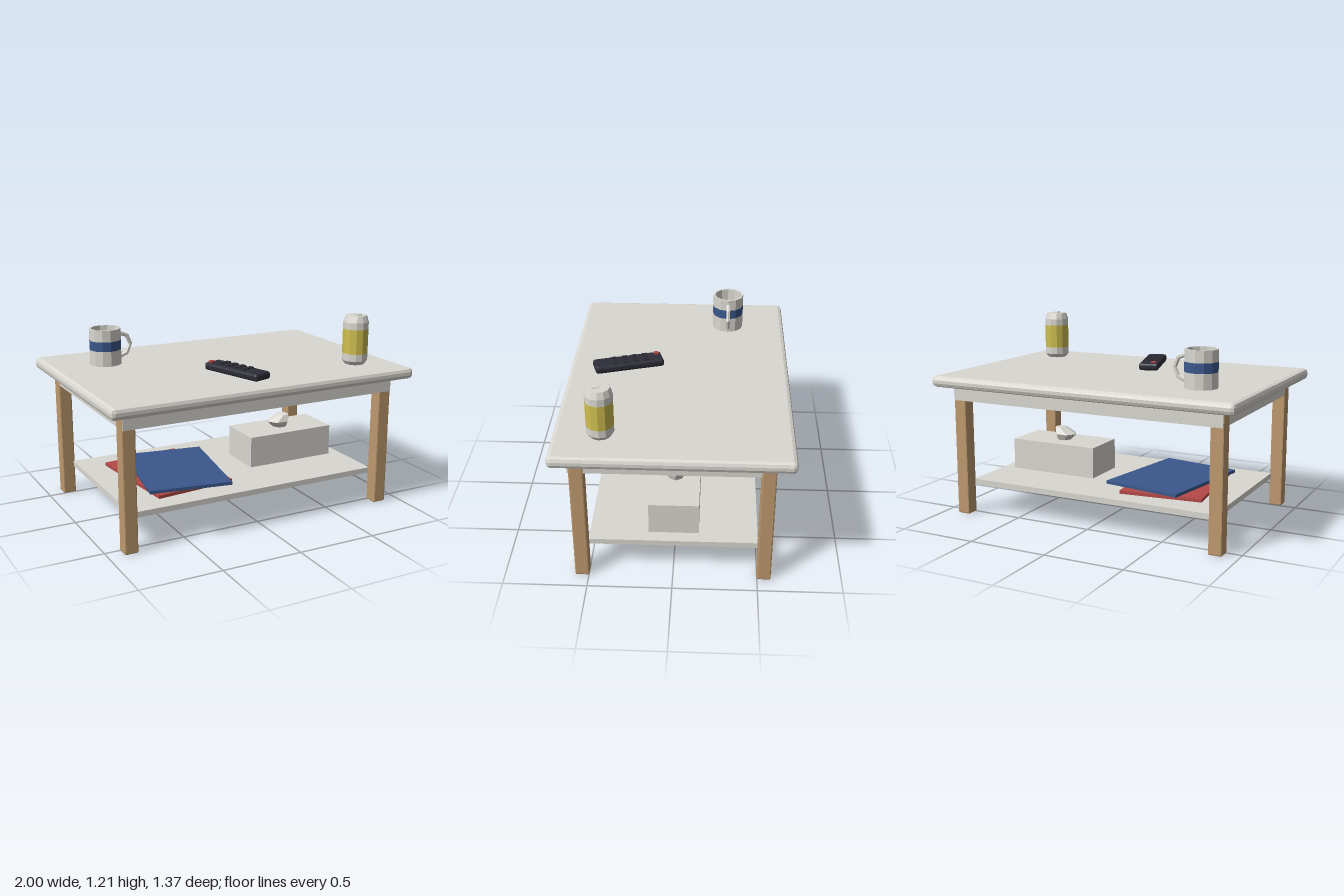
import * as THREE from 'three';
import { RoundedBoxGeometry } from 'three/addons/geometries/RoundedBoxGeometry.js';

const material = (name, color) => {
  const m = new THREE.MeshStandardMaterial({ color, flatShading: true });
  m.name = name;
  return m;
};

export function createModel() {
  const model = new THREE.Group();
  model.name = 'coffeeTable';

  const white = material('offWhite', 0xdad8d1);
  const wood = material('wood', 0xbf9a6f);
  const blue = material('blue', 0x3b588c);
  const red = material('red', 0xb54a48);
  const yellow = material('yellow', 0xcfbf50);
  const dark = material('charcoal', 0x2d2d38);

  const add = (name, geometry, mat, x = 0, y = 0, z = 0, parent = model) => {
    const mesh = new THREE.Mesh(geometry, mat);
    mesh.name = name;
    mesh.position.set(x, y, z);
    parent.add(mesh);
    return mesh;
  };
  const group = (name, x, y, z, turn = 0) => {
    const g = new THREE.Group();
    g.name = name;
    g.position.set(x, y, z);
    g.rotation.y = turn;
    model.add(g);
    return g;
  };
  const box = (w, h, d) => new THREE.BoxGeometry(w, h, d);
  // A single segment gives a plain chamfer
  const chamfered = (w, h, d, r) => new RoundedBoxGeometry(w, h, d, 1, r);
  const lathe = (points, sides = 12) =>
    new THREE.LatheGeometry(points.map(([r, y]) => new THREE.Vector2(r, y)), sides);

  // Table
  add('tableTop', chamfered(2, 0.07, 1.37, 0.025), white, 0, 0.865, 0);
  add('apron', box(1.8, 0.09, 1.174), white, 0, 0.785, 0);
  add('shelf', box(1.66, 0.035, 1), white, 0, 0.1975, 0);
  for (const x of [-1, 1]) {
    for (const z of [-1, 1]) {
      add('leg', chamfered(0.084, 0.826, 0.084, 0.008), wood, x * 0.863, 0.413, z * 0.539);
    }
  }

  // Books on the shelf
  add('lowerBook', box(0.52, 0.02, 0.7), red, -0.378, 0.225, 0).rotation.y = 0.106;
  add('upperBook', box(0.517, 0.02, 0.7), blue, -0.327, 0.245, 0.027).rotation.y = -0.165;

  // Tissue box with a crumpled tissue built from stacked hexagons
  add('tissueBox', box(0.6, 0.2, 0.3), white, 0.45, 0.315, 0);
  const rings = [
    // centre x, y, half width, half depth
    [0.45, 0.414, 0.048, 0.04],
    [0.437, 0.455, 0.078, 0.06],
    [0.475, 0.495, 0.038, 0.04],
    [0.48, 0.505, 0, 0],
  ];
  const tissue = new THREE.CylinderGeometry(1, 1, 1, 6, 3, true);
  const p = tissue.attributes.position;
  for (let i = 0; i < p.count; i++) {
    const [cx, y, w, d] = rings[Math.round((p.getY(i) + 0.5) * 3)];
    // Quarter turn puts a corner at each end in x
    p.setXYZ(i, cx + p.getZ(i) * w, y, -p.getX(i) * d / 0.866);
  }
  add('tissue', tissue, white);

  // Mug
  const mug = group('mug', -0.652, 0.9, -0.305);
  add('mugLowerBody', lathe([[0, 0], [0.1, 0], [0.1, 0.095]]), white, 0, 0, 0, mug);
  add('mugBand', lathe([[0.1, 0.095], [0.1, 0.155]]), blue, 0, 0, 0, mug);
  add('mugUpperBody', lathe([[0.1, 0.155], [0.1, 0.228], [0.087, 0.228], [0.087, 0.04]]), white, 0, 0, 0, mug);
  add('drink', lathe([[0.087, 0.06], [0, 0.06]]), dark, 0, 0, 0, mug);
  const handle = new THREE.TorusGeometry(0.08, 0.014, 6, 4, Math.PI);
  handle.rotateZ(-Math.PI / 2);
  add('mugHandle', handle, white, 0.088, 0.113, 0, mug);

  // Drink can
  const can = group('can', 0.745, 0.9, 0.41);
  add('canBase', lathe([[0, 0], [0.062, 0], [0.08, 0.025], [0.08, 0.07]]), white, 0, 0, 0, can);
  add('canLabel', lathe([[0.08, 0.07], [0.08, 0.225]]), yellow, 0, 0, 0, can);
  add('canTop', lathe([[0.08, 0.225], [0.08, 0.268], [0.066, 0.308], [0, 0.308]]), white, 0, 0, 0, can);
  add('canTab', box(0.03, 0.006, 0.04), white, 0.005, 0.311, 0.012, can);

  // Remote control
  const remote = group('remote', -0.05, 0.9, 0.32, 0.3);
  add('remoteBody', chamfered(0.126, 0.048, 0.438, 0.015), dark, 0, 0.024, 0, remote);
  add('powerButton', box(0.028, 0.012, 0.028), red, -0.03, 0.052, -0.187, remote);
  for (let row = 0; row < 4; row++) {
    for (const x of [-0.032, 0, 0.032]) {
      add('button', box(0.022, 0.01, 0.03), dark, x, 0.051, -0.11 + row * 0.065, remote);
    }
  }

  return model;
}
